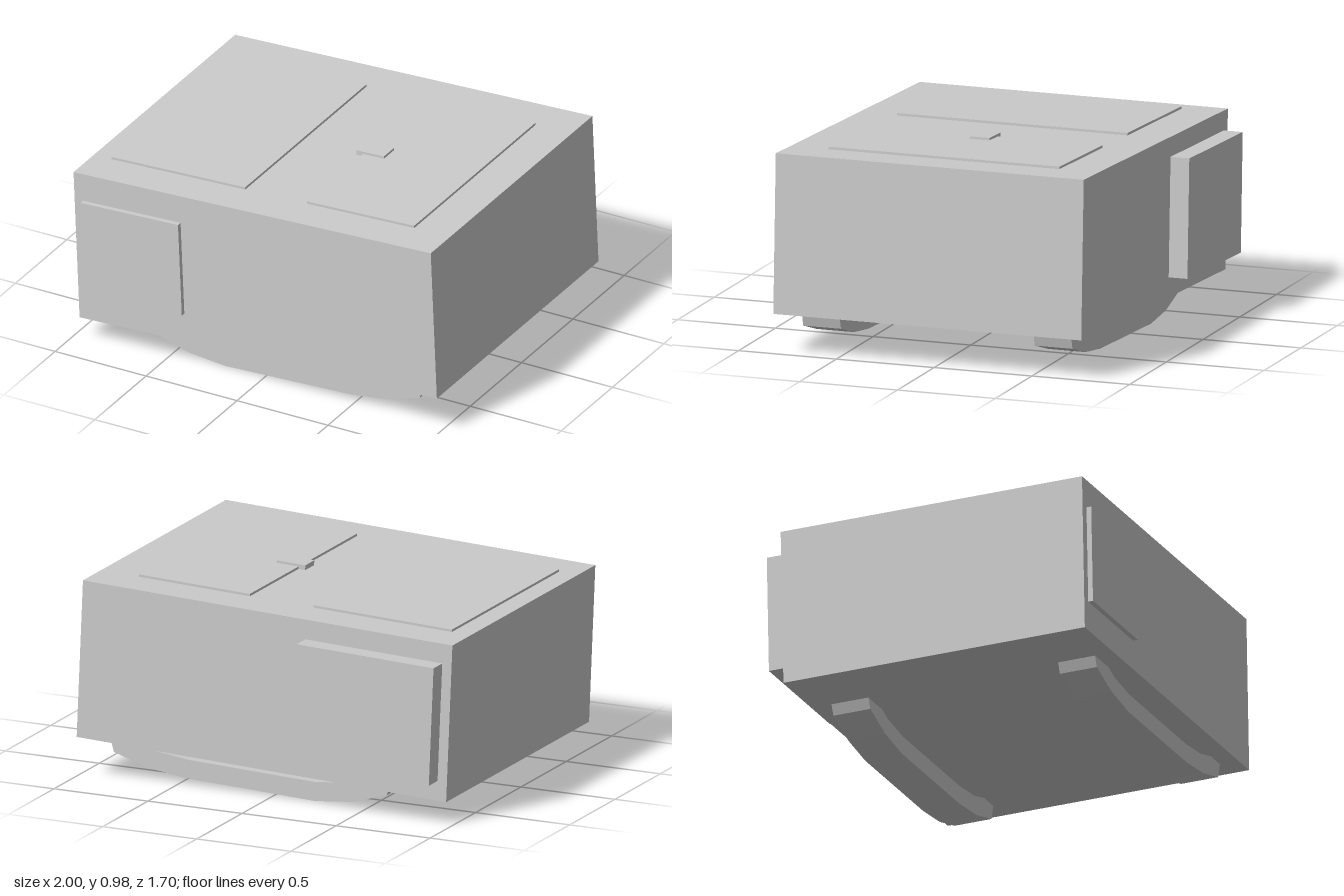
import * as THREE from 'three';

export function createModel() {
  const model = new THREE.Group();
  model.name = 'crate';
  const material = new THREE.MeshStandardMaterial({ color: 0xcccccc, flatShading: true });

  // Crate parts share one slightly tilted frame, centred on the body
  const tilted = new THREE.Group();
  tilted.name = 'tiltedCrate';
  tilted.position.y = 0.55;
  tilted.rotation.z = 0.0427;
  model.add(tilted);

  // Box given by its limits along each axis
  function box(name, [x0, x1], [y0, y1], [z0, z1]) {
    const mesh = new THREE.Mesh(new THREE.BoxGeometry(x1 - x0, y1 - y0, z1 - z0), material);
    mesh.name = name;
    mesh.position.set((x0 + x1) / 2, (y0 + y1) / 2, (z0 + z1) / 2);
    tilted.add(mesh);
  }

  const top = 0.392, back = -0.752, front = 0.823;
  box('body', [-0.983, 0.983], [-top, top], [back, front]);

  // Lid panels and the small latch on the top
  const lidDepth = [-0.552, 0.628];
  box('wideLidPanel', [-0.883, -0.148], [top - 0.02, top + 0.012], lidDepth);
  box('narrowLidPanel', [0.192, 0.782], [top - 0.02, top + 0.012], lidDepth);
  box('latch', [0.156, 0.308], [top - 0.02, top + 0.024], [-0.016, 0.083]);

  // Raised panels on the front and back
  box('frontPanel', [-0.936, -0.4], [-0.242, 0.248], [front - 0.02, 0.848]);
  box('backPanel', [-0.933, -0.205], [-0.294, 0.294], [-0.848, back + 0.02]);

  // Bowed runners, their ends sunk into the underside
  const profile = [
    [-0.63, 0.15], [-0.6, 0.08], [-0.42, 0.025], [-0.22, 0.005], [0.47, 0.035],
    [0.67, 0.062], [0.85, 0.118], [0.875, 0.21], [0.8, 0.204], [0.75, 0.186],
    [0.64, 0.152], [0.46, 0.128], [-0.21, 0.1], [-0.39, 0.116], [-0.5, 0.152],
  ];
  const shape = new THREE.Shape(profile.map(([x, y]) => new THREE.Vector2(x, y)));
  const runner = new THREE.ExtrudeGeometry(shape, { depth: 0.193, bevelEnabled: false });
  for (const [name, z] of [['frontRunner', 0.533], ['backRunner', -0.651]]) {
    const mesh = new THREE.Mesh(runner, material);
    mesh.name = name;
    mesh.position.z = z;
    model.add(mesh);
  }

  return model;
}
